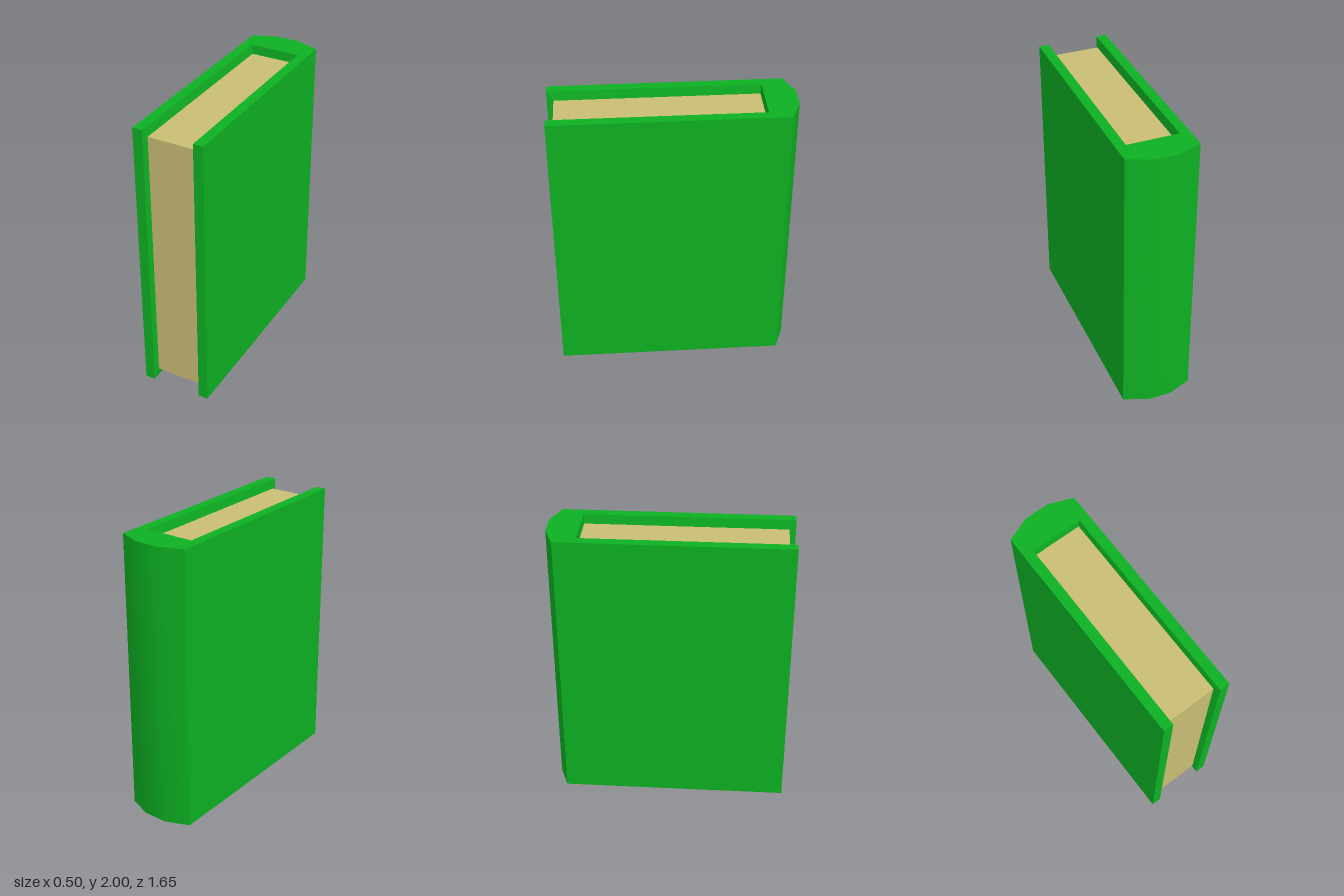
import * as THREE from 'three';
import { toCreasedNormals } from 'three/addons/utils/BufferGeometryUtils.js';

const H = 2, FRONT = 0.825, BACK = -0.61;            // cover height, recess depth
const PAGE = { x: 0.17, y0: 0.065, y1: 1.935, z0: -0.605, z1: 0.78 };

// Closed rim loop running around both boards and across the spine, top and bottom
function rimLoop(x, y0, y1, z0, z1) {
  const side = [[y1, z0], [y1, z1], [y0, z1], [y0, z0]];
  return [
    ...side.map(([y, z]) => [x, y, z]),
    ...side.slice().reverse().map(([y, z]) => [-x, y, z]),
  ];
}

// Flat strip joining two closed loops
function bridge(outer, inner) {
  const pos = [];
  outer.forEach((a, i) => {
    const j = (i + 1) % outer.length;
    pos.push(...a, ...inner[i], ...outer[j], ...outer[j], ...inner[i], ...inner[j]);
  });
  const geo = new THREE.BufferGeometry();
  geo.setAttribute('position', new THREE.Float32BufferAttribute(pos, 3));
  geo.computeVertexNormals();
  return geo;
}

export function createModel() {
  const green = new THREE.MeshStandardMaterial({ color: 0x0db022 });
  green.name = 'coverGreen';
  const cream = new THREE.MeshStandardMaterial({ color: 0xc8bc74 });
  cream.name = 'paperCream';

  const book = new THREE.Group();
  book.name = 'book';
  const add = (name, geo, mat) => {
    const mesh = new THREE.Mesh(geo, mat);
    mesh.name = name;
    book.add(mesh);
    return mesh;
  };

  // Cover: U-shaped outline with a faceted, softly shaded spine (shape y = -z)
  const outline = [
    [0.25, -FRONT], [0.25, 0.76], [0.085, 0.825], [-0.085, 0.825], [-0.25, 0.76],
    [-0.25, -FRONT], [-0.18, -FRONT], [-0.18, -BACK], [0.18, -BACK], [0.18, -FRONT],
  ].map(([x, y]) => new THREE.Vector2(x, y));
  const cover = new THREE.ExtrudeGeometry(new THREE.Shape(outline), { depth: H, bevelEnabled: false });
  cover.rotateX(-Math.PI / 2);
  add('cover', toCreasedNormals(cover, 0.6), green);

  // Slightly tapered inner walls between the cover edge and the pages
  add('coverLining', bridge(
    rimLoop(0.18, 0, H, BACK, FRONT),
    rimLoop(PAGE.x, PAGE.y0, PAGE.y1, PAGE.z0, PAGE.z1),
  ), green);

  // Page block
  const pages = add('pages', new THREE.BoxGeometry(
    PAGE.x * 2, PAGE.y1 - PAGE.y0, PAGE.z1 - PAGE.z0), cream);
  pages.position.set(0, (PAGE.y0 + PAGE.y1) / 2, (PAGE.z0 + PAGE.z1) / 2);

  return book;
}
